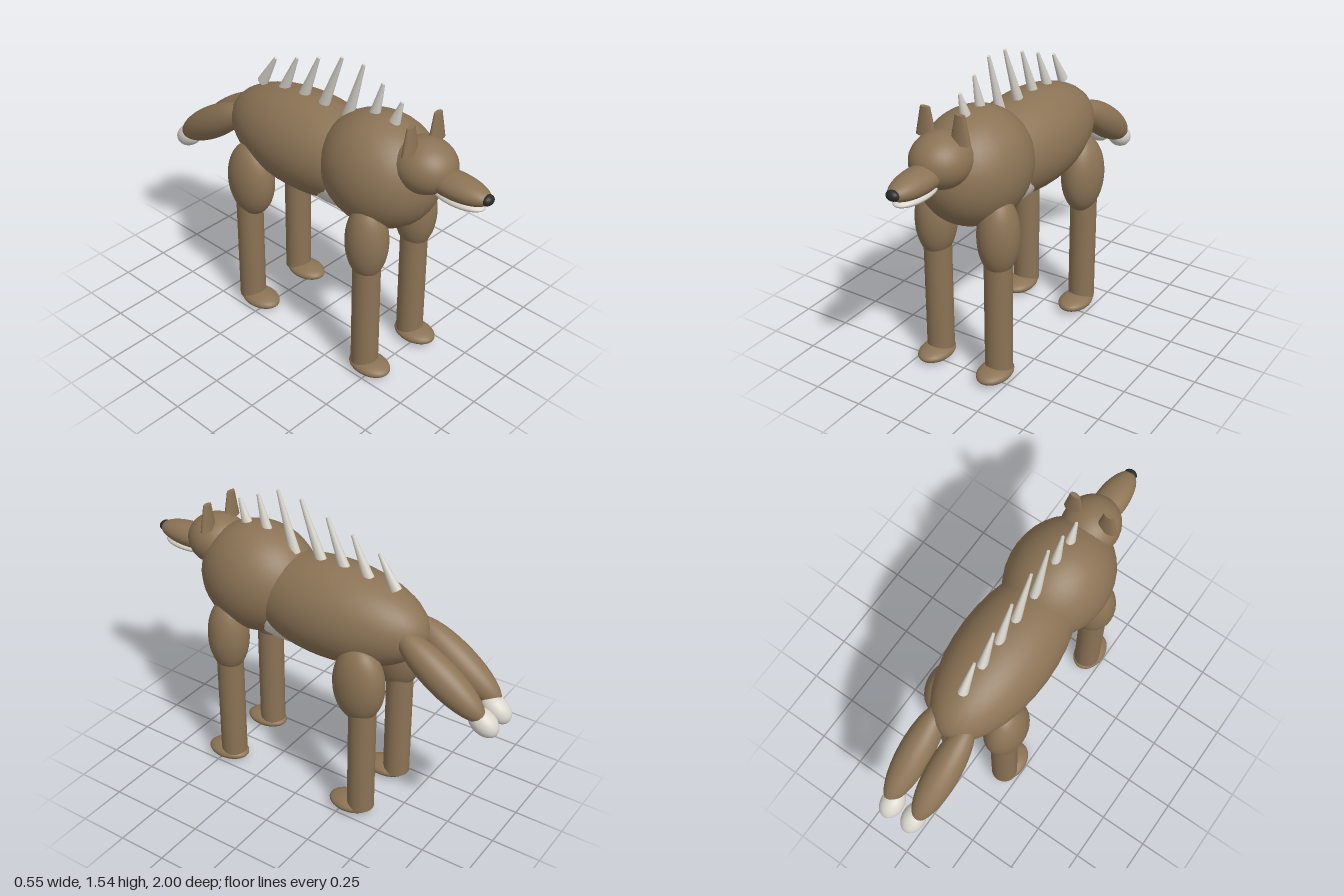
import * as THREE from 'three';

const mat = (name, color) => {
  const m = new THREE.MeshStandardMaterial({ color });
  m.name = name;
  return m;
};

export function createModel() {
  const fur = mat('brown fur', 0x8b7355);
  const pale = mat('pale bone', 0xd9d5cc);
  const dark = mat('dark nose', 0x2a2a2a);
  const model = new THREE.Group();
  model.name = 'spinedCanine';
  const ball = new THREE.SphereGeometry(1, 32, 24);

  const add = (name, geometry, material, pos, scale = [1, 1, 1], tilt = 0) => {
    const m = new THREE.Mesh(geometry, material);
    m.name = name;
    m.position.set(...pos);
    m.scale.set(...scale);
    m.rotation.x = tilt;
    model.add(m);
    return m;
  };
  const blob = (name, material, pos, radii, tilt) => add(name, ball, material, pos, radii, tilt);

  // Torso
  blob('chest', fur, [0, 1.05, 0.37], [0.257, 0.281, 0.31]);
  blob('body', fur, [0, 1.012, -0.08], [0.242, 0.245, 0.5]);
  blob('belly', pale, [0, 0.953, 0.14], [0.19, 0.182, 0.39]);

  // Head
  blob('head', fur, [0, 1.177, 0.625], [0.144, 0.13, 0.158]);
  blob('muzzle', fur, [0, 1.145, 0.8], [0.08, 0.06, 0.19]);
  blob('jaw', pale, [0, 1.09, 0.82], [0.066, 0.028, 0.14]);
  blob('nose', dark, [0, 1.148, 0.975], [0.033, 0.025, 0.025]);

  const ear = new THREE.CylinderGeometry(0.026, 0.053, 0.135, 24);
  const lowerLeg = new THREE.CylinderGeometry(0.068, 0.068, 0.62, 32);
  const tailTilt = Math.atan2(0.555, 0.832);

  for (const [side, s] of [['left', 1], ['right', -1]]) {
    add(side + 'Ear', ear, fur, [s * 0.092, 1.334, 0.611], [1, 1, 0.46]);

    // Legs: thigh, shin and foot, front then hind
    for (const [end, thighZ, thighR, shinZ, footZ] of [
      ['Front', 0.448, 0.107, 0.448, 0.483],
      ['Hind', -0.323, 0.135, -0.345, -0.287],
    ]) {
      blob(side + end + 'UpperLeg', fur, [s * 0.175, 0.766, thighZ], [0.1, 0.203, thighR]);
      add(side + end + 'LowerLeg', lowerLeg, fur, [s * 0.172, 0.35, shinZ]);
      blob(side + end + 'Foot', fur, [s * 0.172, 0.037, footZ], [0.081, 0.037, 0.115]);
    }

    // Paired tails sloping down to the rear
    blob(side + 'Tail', fur, [s * 0.081, 0.9, -0.7], [0.082, 0.085, 0.28], -tailTilt);
    blob(side + 'TailTip', pale, [s * 0.063, 0.725, -0.923], [0.058, 0.058, 0.085], -tailTilt);
  }

  // Back spines: base z, base y, tip z, tip y
  const spines = [
    [0.44, 1.31, 0.482, 1.435], [0.32, 1.3, 0.37, 1.485], [0.16, 1.235, 0.253, 1.538],
    [0.005, 1.235, 0.122, 1.528], [-0.123, 1.24, -0.025, 1.475],
    [-0.255, 1.23, -0.165, 1.425], [-0.405, 1.213, -0.31, 1.373],
  ];
  for (const [z0, y0, z1, y1] of spines) {
    const geo = new THREE.CylinderGeometry(0.007, 0.024, Math.hypot(z1 - z0, y1 - y0), 12);
    add('spine', geo, pale, [0, (y0 + y1) / 2, (z0 + z1) / 2], [1, 1, 1.25],
      Math.atan2(z1 - z0, y1 - y0));
  }
  return model;
}
